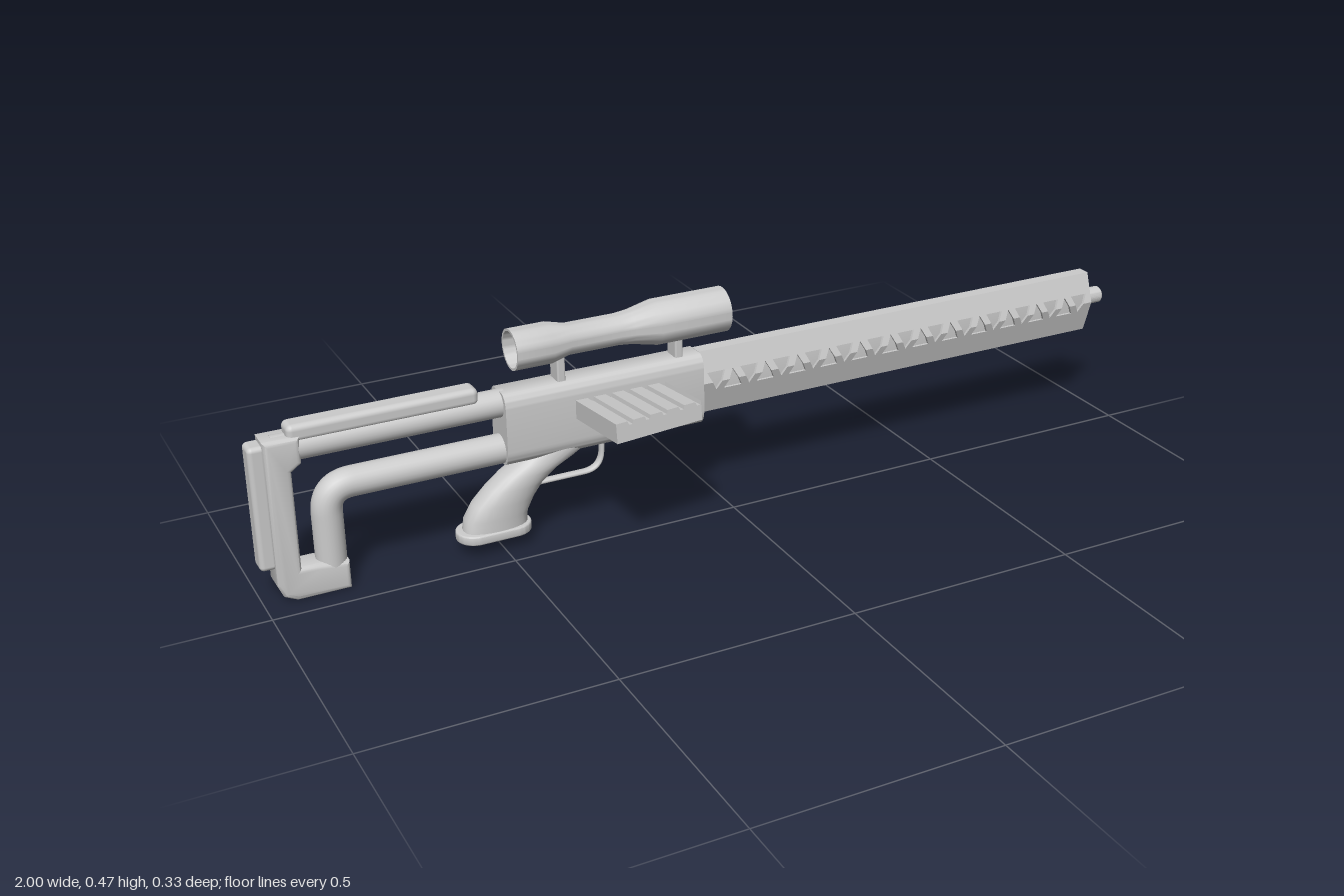
import * as THREE from 'three';
import { toCreasedNormals } from 'three/addons/utils/BufferGeometryUtils.js';
import { RoundedBoxGeometry } from 'three/addons/geometries/RoundedBoxGeometry.js';

const grey = new THREE.MeshStandardMaterial({ color: 0xcccccc, side: THREE.DoubleSide });
const V = (x, y, z = 0) => new THREE.Vector3(x, y, z);

export function createModel() {
  const model = new THREE.Group();
  const body = new THREE.Group();
  body.name = 'rifle';
  body.position.z = -0.077;
  model.add(body);

  const add = (name, geo, x = 0, y = 0, z = 0, parent = body) => {
    const m = new THREE.Mesh(geo, grey);
    m.name = name;
    m.position.set(x, y, z);
    parent.add(m);
    return m;
  };
  const polygon = (pts) => new THREE.Shape(pts.map(([x, y]) => new THREE.Vector2(x, y)));
  const extrude = (shape, depth, bevel = 0) => toCreasedNormals(new THREE.ExtrudeGeometry(shape, {
    depth: depth - 2 * bevel, curveSegments: 10, bevelEnabled: bevel > 0,
    bevelSize: bevel, bevelOffset: -bevel, bevelThickness: bevel, bevelSegments: 3,
  }).translate(0, 0, bevel), 0.6);
  // cross-section in (z, y) swept along x
  const alongX = (shape, x0, x1) => extrude(shape, x1 - x0).rotateY(Math.PI / 2).translate(x0, 0, 0);
  const rod = (r, x0, x1) => new THREE.CylinderGeometry(r, r, x1 - x0, 28)
    .rotateZ(-Math.PI / 2).translate((x0 + x1) / 2, 0, 0);
  // straight runs joined by rounded corners
  const bentPath = (pts, r) => {
    const path = new THREE.CurvePath();
    let last = pts[0];
    for (let i = 1; i < pts.length - 1; i++) {
      const a = pts[i].clone().add(pts[i - 1].clone().sub(pts[i]).setLength(r));
      const b = pts[i].clone().add(pts[i + 1].clone().sub(pts[i]).setLength(r));
      path.add(new THREE.LineCurve3(last, a));
      path.add(new THREE.QuadraticBezierCurve3(a, pts[i], b));
      last = b;
    }
    path.add(new THREE.LineCurve3(last, pts[pts.length - 1]));
    return path;
  };

  // Receiver: rounded top shoulders and rounder belly
  const rs = new THREE.Shape();
  rs.moveTo(-0.024, 0.346);
  rs.lineTo(0.024, 0.346);
  rs.quadraticCurveTo(0.04, 0.338, 0.04, 0.312);
  rs.lineTo(0.04, 0.222);
  rs.quadraticCurveTo(0.037, 0.187, 0.008, 0.187);
  rs.lineTo(-0.008, 0.187);
  rs.quadraticCurveTo(-0.037, 0.187, -0.04, 0.222);
  rs.lineTo(-0.04, 0.312);
  rs.quadraticCurveTo(-0.04, 0.338, -0.024, 0.346);
  add('receiver', alongX(rs, -0.49, -0.05));
  add('boltSlot', new THREE.BoxGeometry(0.22, 0.006, 0.004), -0.26, 0.29, -0.04);
  add('boltSlotEnd', new THREE.BoxGeometry(0.006, 0.035, 0.004), -0.37, 0.29, -0.04);

  // Charging handle: thin plate curving forward
  const hs = new THREE.Shape();
  hs.moveTo(-0.165, 0.03);
  hs.lineTo(-0.15, 0.03);
  hs.quadraticCurveTo(-0.148, 0.07, -0.13, 0.084);
  hs.lineTo(-0.134, 0.09);
  hs.quadraticCurveTo(-0.16, 0.08, -0.165, 0.03);
  add('chargingHandle', extrude(hs, 0.04).rotateX(-Math.PI / 2), 0, 0.265, 0);

  // Handguard: solid core under slanted panels whose meeting ridge is notched
  const MID = 0.281, HALF = 0.5015, CX = 0.4515;
  const hexagon = (w) => polygon([[-0.014, 0.347], [0.014, 0.347], [w, MID], [0.014, 0.207], [-0.014, 0.207], [-w, MID]]);
  add('handguardCore', alongX(hexagon(0.022), -0.05, 0.95));
  for (const x of [-0.05, 0.949]) add('handguardCap', alongX(hexagon(0.037), x, x + 0.004));
  const panel = (edgeY, tipY, up) => {
    const pts = [[HALF, edgeY], [-HALF, edgeY], [-HALF, MID]];
    for (let i = -12; i <= 12; i++) {
      const x = i * 0.039;
      const pointed = (i % 2 !== 0) === up;
      if (pointed) pts.push([x - 0.011, MID], [x, tipY], [x + 0.011, MID]);
      else pts.push([x - 0.011, MID], [x - 0.021, tipY], [x + 0.021, tipY], [x + 0.011, MID]);
    }
    pts.push([HALF, MID]);
    const g = new THREE.ExtrudeGeometry(polygon(pts), { depth: 0.006, bevelEnabled: false });
    const p = g.attributes.position;
    for (let i = 0; i < p.count; i++) {
      const t = (p.getY(i) - MID) / (edgeY - MID);
      p.setZ(i, p.getZ(i) - 0.006 + 0.037 + (0.014 - 0.037) * t);
    }
    g.computeVertexNormals();
    return g;
  };
  for (const turn of [0, Math.PI]) {
    add('handguardUpperPanel', panel(0.347, 0.302, true), CX).rotation.y = turn;
    add('handguardLowerPanel', panel(0.207, 0.261, false), CX).rotation.y = turn;
  }

  // Barrel tip with a bore
  const bore = [[0, 0.9], [0.019, 0.9], [0.019, 0.996], [0.016, 1], [0.012, 1], [0.01, 0.975], [0, 0.975]];
  const lathe = (pts) => toCreasedNormals(
    new THREE.LatheGeometry(pts.map(([r, x]) => new THREE.Vector2(r, x)), 36).rotateZ(-Math.PI / 2), 0.5);
  add('barrel', lathe(bore), 0, MID, 0);

  // Scope: hollow tube with flared ends, on two posts
  add('scope', lathe([
    [0.038, -0.46], [0.043, -0.46], [0.043, -0.38], [0.033, -0.34], [0.033, -0.23], [0.036, -0.2],
    [0.048, -0.145], [0.048, 0.013], [0.04, 0.013], [0.039, -0.12], [0.03, -0.19], [0.03, -0.35], [0.038, -0.46],
  ]), 0, 0.427, 0);
  for (const x of [-0.36, -0.097]) {
    add('scopeMount', new RoundedBoxGeometry(0.018, 0.068, 0.04, 2, 0.004), x, 0.37, 0);
  }

  // Magazine: ribbed slab out of the left side, tilted up, slanted end
  const prof = [];
  const ribs = 5, pitch = 0.2 / ribs;
  for (let i = 0; i < ribs; i++) {
    const x = -0.34 + i * pitch;
    prof.push([x, 0.02], [x + pitch * 0.65, 0.02], [x + pitch * 0.75, 0.012], [x + pitch * 0.95, 0.012]);
  }
  prof.push([-0.14, 0.02], [-0.14, -0.02], [-0.34, -0.02]);
  const mag = new THREE.ExtrudeGeometry(polygon(prof), { depth: 0.235, bevelEnabled: false });
  const mp = mag.attributes.position;
  for (let i = 0; i < mp.count; i++) {
    if (mp.getZ(i) > 0.1) mp.setZ(i, 0.232 - (mp.getX(i) + 0.34) * 0.165);
  }
  mag.computeVertexNormals();
  add('magazine', mag, 0, 0.283, 0.008).rotation.x = -0.138;

  // Stock: upper tube, cheek pad, bent lower tube, rear frame and butt pad
  add('stockUpperTube', rod(0.029, -0.95, -0.48), 0, 0.318, 0);
  add('cheekPad', new RoundedBoxGeometry(0.385, 0.036, 0.048, 3, 0.012), -0.73, 0.35, 0);
  add('stockLowerTube', new THREE.TubeGeometry(
    bentPath([V(-0.48, 0.218), V(-0.855, 0.218), V(-0.855, 0.03)], 0.055), 80, 0.031, 24));
  const frame = polygon([
    [-0.972, 0.346], [-0.9, 0.346], [-0.9, 0.29], [-0.921, 0.275], [-0.921, 0.068], [-0.885, 0.068],
    [-0.825, 0.06], [-0.825, 0], [-0.935, 0], [-0.96, 0.012], [-0.972, 0.04],
  ]);
  add('stockFrame', extrude(frame, 0.062, 0.01), 0, 0, -0.031);
  add('buttPad', new RoundedBoxGeometry(0.036, 0.264, 0.046, 3, 0.01), -0.982, 0.206, 0);

  // Pistol grip: oval sections leaning forward as they rise [y, xBack, xFront, halfWidth]
  const secs = [
    [0.04, -0.582, -0.445, 0.036], [0.075, -0.576, -0.442, 0.037], [0.105, -0.558, -0.427, 0.038],
    [0.135, -0.527, -0.405, 0.038], [0.16, -0.495, -0.375, 0.038], [0.18, -0.462, -0.335, 0.037],
    [0.205, -0.425, -0.29, 0.035], [0.23, -0.4, -0.27, 0.03],
  ];
  const N = 24, pos = [], idx = [];
  secs.forEach(([y, x0, x1, w], j) => {
    for (let i = 0; i < N; i++) {
      const a = (i / N) * Math.PI * 2, c = Math.cos(a), s = Math.sin(a);
      pos.push((x0 + x1) / 2 + (x1 - x0) / 2 * c, y, Math.sign(s) * Math.abs(s) ** 0.7 * w);
      const k = (i + 1) % N;
      if (j) idx.push((j - 1) * N + i, j * N + i, j * N + k, (j - 1) * N + i, j * N + k, (j - 1) * N + k);
    }
  });
  const grip = new THREE.BufferGeometry();
  grip.setAttribute('position', new THREE.Float32BufferAttribute(pos, 3));
  grip.setIndex(idx);
  grip.computeVertexNormals();
  add('grip', grip);
  const base = new THREE.Shape();
  base.absarc(-0.475, 0, 0.04, -Math.PI / 2, Math.PI / 2);
  base.absarc(-0.555, 0, 0.04, Math.PI / 2, Math.PI * 1.5);
  add('gripBase', extrude(base, 0.02, 0.003).rotateX(-Math.PI / 2), 0, 0.031, 0);

  // Trigger guard: flat strap
  add('triggerGuard', new THREE.TubeGeometry(
    bentPath([V(-0.44, 0.124), V(-0.272, 0.124), V(-0.268, 0.2)], 0.04), 40, 0.005, 10).scale(1, 1, 2));

  return model;
}
